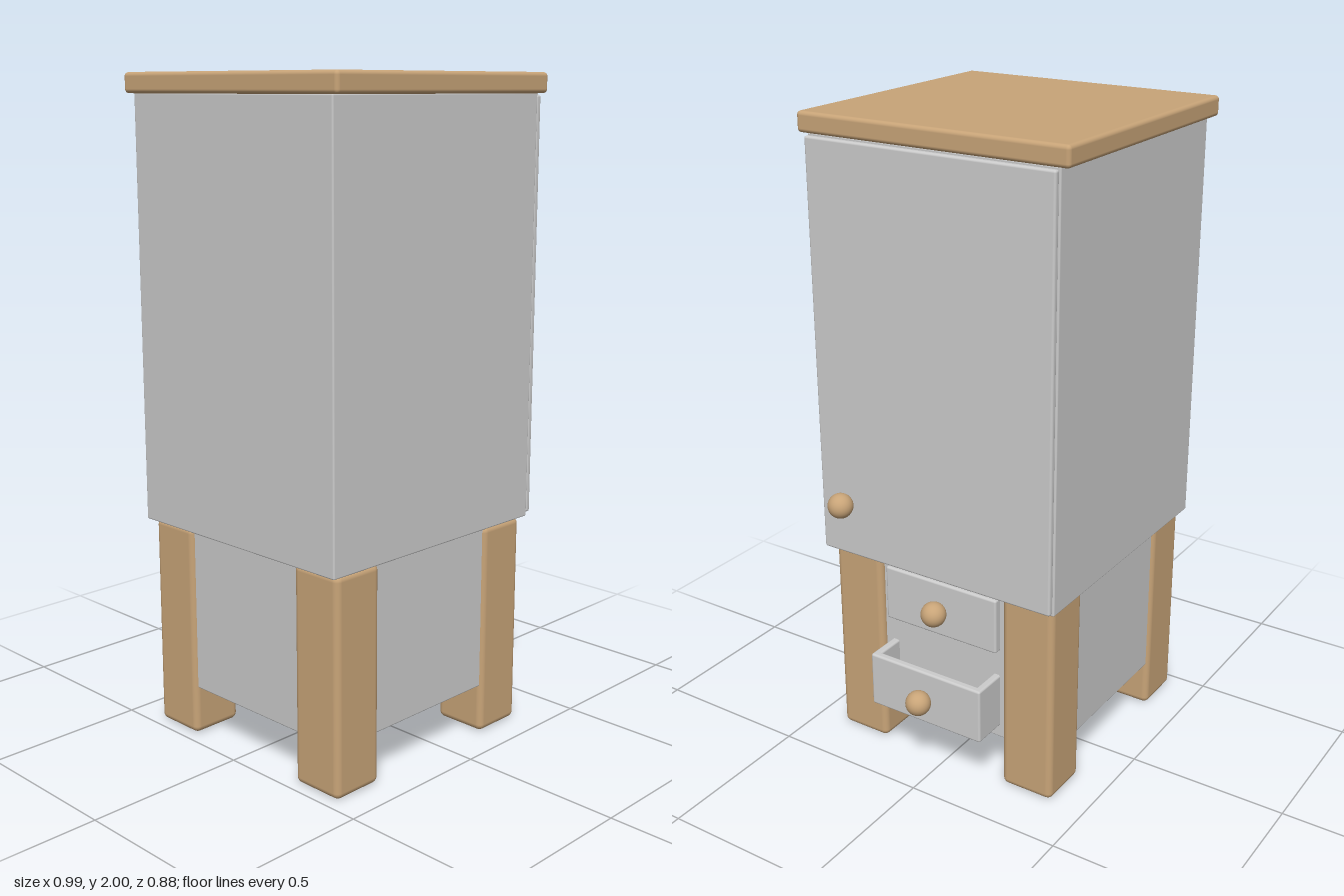
import * as THREE from 'three';
import { RoundedBoxGeometry } from 'three/addons/geometries/RoundedBoxGeometry.js';

const grey = new THREE.MeshStandardMaterial({ color: 0xcccccc });
const wood = new THREE.MeshStandardMaterial({ color: 0xc8a478 });

// Rounded box given by its [min, max] range on each axis
function block(name, [x0, x1], [y0, y1], [z0, z1], radius, material) {
  const geometry = new RoundedBoxGeometry(x1 - x0, y1 - y0, z1 - z0, 3, radius);
  const mesh = new THREE.Mesh(geometry, material);
  mesh.position.set((x0 + x1) / 2, (y0 + y1) / 2, (z0 + z1) / 2);
  mesh.name = name;
  return mesh;
}

function knob(name, x, y, z) {
  const mesh = new THREE.Mesh(new THREE.SphereGeometry(0.039, 32, 20), wood);
  mesh.position.set(x, y, z);
  mesh.name = name;
  return mesh;
}

// Open-topped drawer whose face is at x = front
function drawer(name, front, y0, y1) {
  const group = new THREE.Group();
  group.name = name;
  const wall = 0.025, back = front - 0.36, z0 = -0.195, z1 = 0.207;
  group.add(
    block('drawerFront', [front - wall, front], [y0, y1], [z0, z1], 0.007, grey),
    block('drawerBack', [back, back + wall], [y0, y1], [z0, z1], 0.007, grey),
    block('drawerSide', [back, front - 0.005], [y0, y1], [z0, z0 + wall], 0.007, grey),
    block('drawerSide', [back, front - 0.005], [y0, y1], [z1 - wall, z1], 0.007, grey),
    block('drawerFloor', [back, front - 0.005], [y0, y0 + wall], [z0, z1], 0.007, grey),
    knob('drawerKnob', front + 0.033, (y0 + y1) / 2, 0.006)
  );
  return group;
}

export function createModel() {
  const model = new THREE.Group();
  model.name = 'cabinet';

  // Upper cupboard with its top board and door
  model.add(
    block('topBoard', [-0.495, 0.37], [1.94, 2], [-0.438, 0.438], 0.012, wood),
    block('cupboard', [-0.482, 0.358], [0.66, 1.942], [-0.407, 0.409], 0.005, grey),
    block('door', [0.36, 0.38], [0.67, 1.936], [-0.405, 0.405], 0.007, grey),
    knob('doorKnob', 0.409, 0.843, 0.312)
  );

  // Lower case between the legs
  model.add(block('drawerCase', [-0.453, 0.31], [0.15, 0.665], [-0.377, 0.394], 0.005, grey));

  // Four square legs
  for (const x of [-0.465, 0.16]) {
    for (const z of [-0.387, 0.23]) {
      model.add(block('leg', [x, x + 0.17], [0, 0.664], [z, z + 0.174], 0.02, wood));
    }
  }

  // Upper drawer nearly closed, lower drawer pulled out
  model.add(drawer('upperDrawer', 0.335, 0.456, 0.635));
  model.add(drawer('lowerDrawer', 0.423, 0.192, 0.37));

  return model;
}
